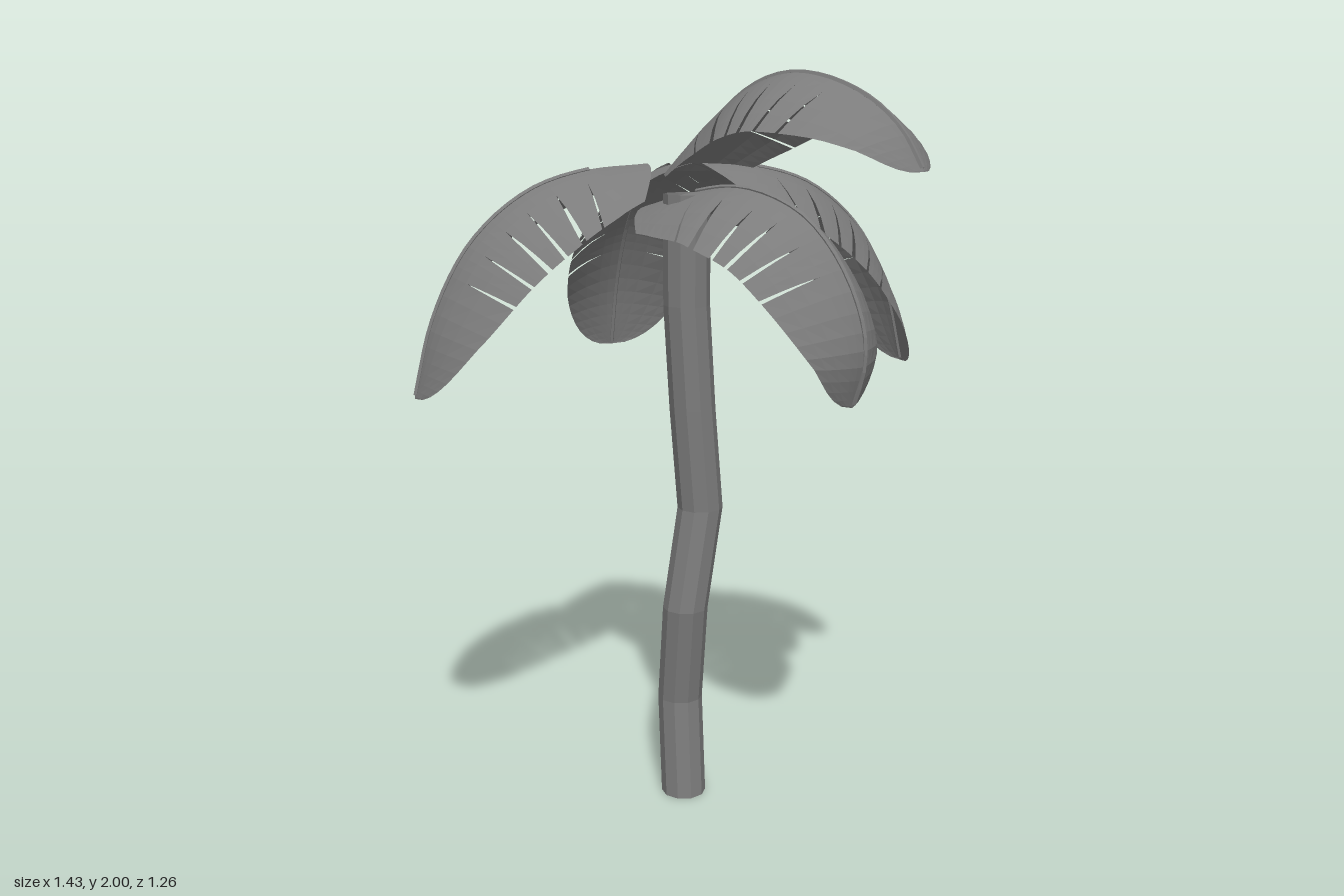
import * as THREE from 'three';
import { mergeGeometries } from 'three/addons/utils/BufferGeometryUtils.js';

const UP = new THREE.Vector3(0, 1, 0);
const lerp = THREE.MathUtils.lerp;

// Half width of a leaf along its length: broad base, fullest at 0.42, round tip
function halfWidth(u) {
  if (u < 0.42) return 0.215 * (1 - 0.38 * ((0.42 - u) / 0.42) ** 2);
  return 0.215 * Math.sqrt(Math.max(0, 1 - ((u - 0.42) / 0.58) ** 3));
}

// Where the slits start along the midrib, and how wide they open at the rim
const SLITS = [0.2, 0.3, 0.4, 0.48, 0.57, 0.66];
const GAPS = [0.005, 0.013, 0.008, 0.011, 0.007, 0.006];
const SLIT_START = 0.33;

// Side profiles: [fraction of the way from base to tip, height]
const DROOP = [[0, 1.765], [0.28, 1.75], [0.52, 1.7], [0.75, 1.58], [0.91, 1.4], [1, 1.19]];
const RAISED = [[0, 1.745], [0.2, 1.89], [0.36, 1.97], [0.53, 1.995], [0.76, 1.95], [0.91, 1.87], [1, 1.77]];
const HOOKED = [[0, 1.65], [0.25, 1.695], [0.49, 1.712], [0.77, 1.65], [0.97, 1.5], [1.05, 1.33], [1, 1.19]];

// One blade strip between two slits, on one side of the midrib
function strip(surface, side, u0, u1, gap0, gap1) {
  const nu = Math.max(2, Math.ceil((u1 - u0) / 0.035));
  const vs = [0, SLIT_START / 2, SLIT_START, 0.6, 0.8, 1];
  const pos = [], index = [];
  for (let i = 0; i <= nu; i++) {
    // rows crowd together toward the rounded tip
    const t = u1 === 1 ? 1 - (1 - i / nu) ** 1.7 : i / nu;
    for (const v of vs) {
      const open = Math.max(0, (v - SLIT_START) / (1 - SLIT_START));
      const u = lerp(u0 + gap0 * open, u1 - gap1 * open, t);
      pos.push(...surface(u, v, side).toArray());
    }
  }
  const n = vs.length;
  for (let i = 0; i < nu; i++) {
    for (let j = 0; j < n - 1; j++) {
      const a = i * n + j, b = a + 1, c = a + n, d = c + 1;
      if (side > 0) index.push(a, b, c, b, d, c);
      else index.push(a, c, b, b, c, d);
    }
  }
  const g = new THREE.BufferGeometry();
  g.setAttribute('position', new THREE.Float32BufferAttribute(pos, 3));
  g.setIndex(index);
  g.computeVertexNormals();
  return g;
}

function makeLeaf(name, base, tip, profile, material) {
  const leaf = new THREE.Group();
  leaf.name = name;
  const spine = new THREE.CatmullRomCurve3(profile.map(([f, y]) =>
    new THREE.Vector3(lerp(base[0], tip[0], f), y, lerp(base[1], tip[1], f))));
  const forward = new THREE.Vector3(tip[0] - base[0], 0, tip[1] - base[1]).normalize();
  const across = forward.clone().cross(UP);

  // Arched blade with rounded base corners, flatter toward the tip
  const surface = (u, v, side) => {
    const s = Math.min(1, u + 0.08 * v * v * (1 - u) ** 3);
    const w = halfWidth(s);
    const drop = w * (0.42 + 1.1 * s * (1 - s) - 0.2 * s * s);
    const normal = across.clone().cross(spine.getTangentAt(s));
    return spine.getPointAt(s)
      .addScaledVector(across, side * v * w)
      .addScaledVector(normal, -drop * (0.4 * v + 0.6 * v * v));
  };

  const cuts = [0, ...SLITS, 1], gaps = [0, ...GAPS, 0];
  const strips = [];
  for (const side of [-1, 1]) {
    for (let i = 0; i < cuts.length - 1; i++) {
      strips.push(strip(surface, side, cuts[i], cuts[i + 1], gaps[i], gaps[i + 1]));
    }
  }
  const blade = new THREE.Mesh(mergeGeometries(strips), material);
  blade.name = 'leafBlade';

  // Raised midrib
  const ribPoints = [];
  for (let i = 0; i <= 10; i++) ribPoints.push(spine.getPointAt(lerp(0.17, 0.99, i / 10)));
  const rib = new THREE.Mesh(
    new THREE.TubeGeometry(new THREE.CatmullRomCurve3(ribPoints), 20, 0.007, 5), material);
  rib.name = 'midrib';
  leaf.add(blade, rib);
  return leaf;
}

// Bent hollow trunk: the centre of each ring is [x, y, z]
function makeTrunk(material) {
  const rings = [[0.002, 0, 0.03], [0.002, 0.28, 0.002], [0.002, 0.56, 0.043], [0.05, 0.84, 0.03],
    [0.027, 1.12, 0.03], [0.01, 1.4, 0.03], [0.01, 1.69, 0.03]];
  const g = new THREE.CylinderGeometry(0.062, 0.062, 1, 10, rings.length - 1, true);
  const p = g.attributes.position;
  for (let i = 0; i < p.count; i++) {
    const [x, y, z] = rings[Math.round((p.getY(i) + 0.5) * (rings.length - 1))];
    p.setXYZ(i, p.getX(i) + x, y, p.getZ(i) + z);
  }
  g.computeVertexNormals();
  const trunk = new THREE.Mesh(g, material);
  trunk.name = 'trunk';
  return trunk;
}

export function createModel() {
  const model = new THREE.Group();
  model.name = 'palmTree';
  const material = new THREE.MeshStandardMaterial({
    color: 0x7c7c7c, side: THREE.DoubleSide, flatShading: true,
  });
  model.add(
    makeTrunk(material),
    makeLeaf('rightLeaf', [-0.07, -0.05], [-0.71, -0.02], DROOP, material),
    makeLeaf('leftLeaf', [0.07, -0.02], [0.71, -0.06], DROOP, material),
    makeLeaf('backLeaf', [0.045, -0.02], [0.01, -0.62], DROOP, material),
    makeLeaf('lowerFrontLeaf', [-0.06, -0.1], [0.28, 0.47], HOOKED, material),
    makeLeaf('upperFrontLeaf', [0.005, -0.045], [0.365, 0.625], RAISED, material),
  );
  return model;
}
